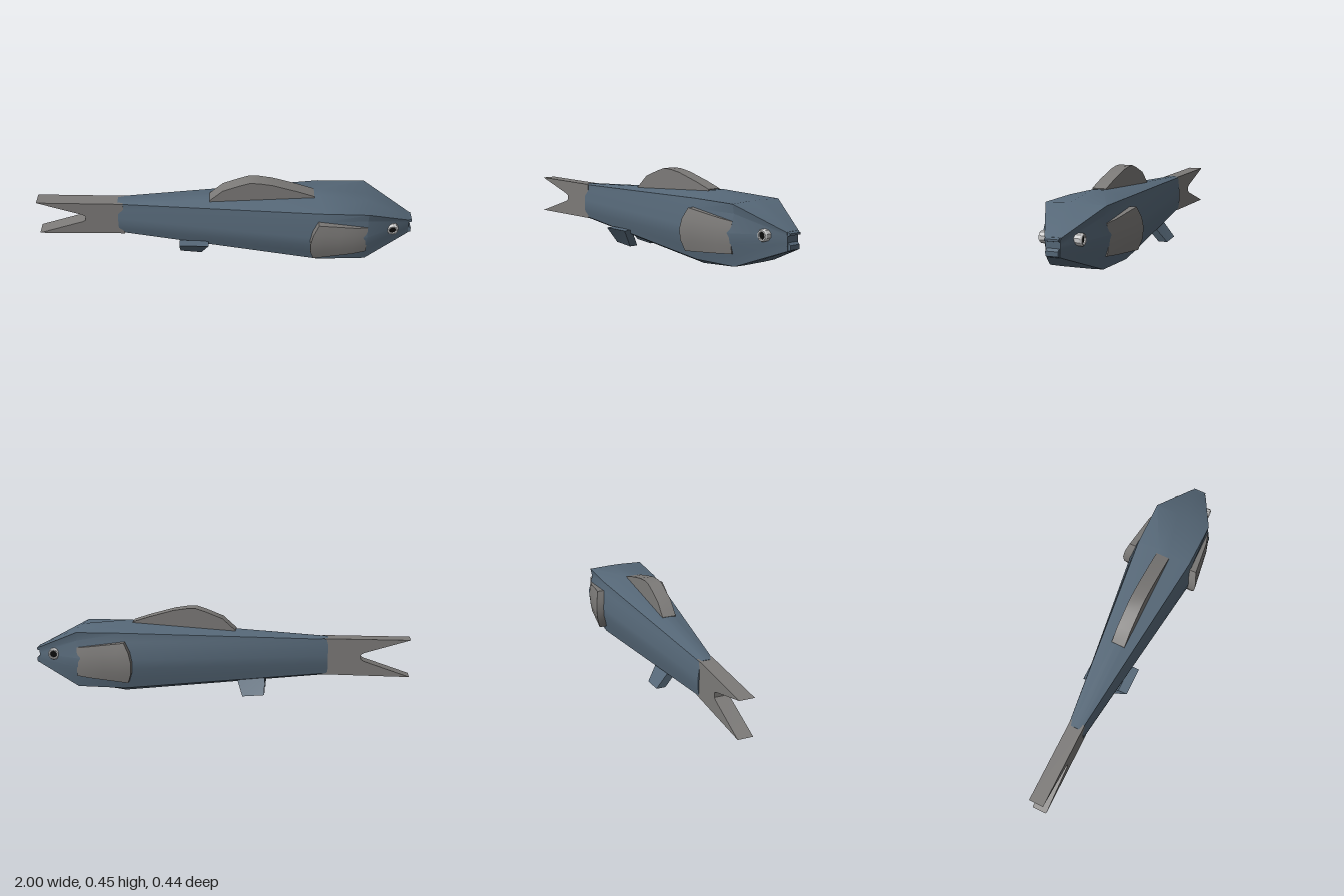
import * as THREE from 'three';
import { toCreasedNormals } from 'three/addons/utils/BufferGeometryUtils.js';

const skin = new THREE.MeshStandardMaterial({ color: 0x566878 });
const finGrey = new THREE.MeshStandardMaterial({ color: 0x7c7a78 });
const eyeGrey = new THREE.MeshStandardMaterial({ color: 0xcccccc });
const black = new THREE.MeshStandardMaterial({ color: 0x0a0a0a });

function part(name, geometry, material, crease = 0.5) {
  const mesh = new THREE.Mesh(toCreasedNormals(geometry, crease), material);
  mesh.name = name;
  return mesh;
}

// Skin mirrored half sections [z, y], listed top to bottom, along x
function loft(sections) {
  const n = sections[0].half.length * 2;
  const pos = [], idx = [];
  for (const { x, half } of sections) {
    for (const [z, y] of half) pos.push(x, y, z);
    for (const [z, y] of [...half].reverse()) pos.push(x, y, -z);
  }
  for (let i = 0; i < sections.length - 1; i++) {
    for (let j = 0; j < n; j++) {
      const a = i * n + j, c = i * n + (j + 1) % n;
      idx.push(a, c, a + n, c, c + n, a + n);
    }
  }
  // End caps, joined straight across
  const last = (sections.length - 1) * n;
  for (let j = 0; j < n / 2 - 1; j++) {
    const a = j, b = j + 1, c = n - 2 - j, d = n - 1 - j;
    idx.push(a, c, b, a, d, c);
    idx.push(last + a, last + b, last + c, last + a, last + c, last + d);
  }
  const g = new THREE.BufferGeometry();
  g.setAttribute('position', new THREE.Float32BufferAttribute(pos, 3));
  g.setIndex(idx);
  return g;
}

// Flat slab cut from an x-y outline between two z values
function slab(points, z0, z1) {
  const shape = new THREE.Shape(points.map(([x, y]) => new THREE.Vector2(x, y)));
  return new THREE.ExtrudeGeometry(shape, { depth: z1 - z0, bevelEnabled: false }).translate(0, 0, z0);
}

// Reshape a box by a rule on its vertices
function warpedBox(sx, sy, rule) {
  const g = new THREE.BoxGeometry(1, 1, 1, sx, sy, 1);
  const p = g.attributes.position;
  for (let i = 0; i < p.count; i++) {
    p.setXYZ(i, ...rule(p.getX(i) + 0.5, p.getY(i) + 0.5, p.getZ(i)));
  }
  return g;
}

// Side fin: curved plate flaring away from the body towards the rear
function sideFin(side) {
  const lerp = THREE.MathUtils.lerp;
  return warpedBox(4, 4, (u, v, w) => {
    const bulge = 4 * v * (1 - v);
    const rear = lerp(0.47, 0.49, v) - 0.03 * bulge;
    const x = lerp(rear, 0.75, u);
    const y = lerp(lerp(0.08, 0.1, u), lerp(0.295, 0.255, u), v);
    const outer = lerp(0.199, 0.168, u) + 0.021 * bulge * (1 - 0.6 * u) - (u > 0.9 ? 0.01 : 0);
    return [x, y, side * (w * side > 0 ? outer : outer - 0.05)];
  });
}

// Belly fin: short slanted plate, leaning towards -z as it goes down
function bellyFin(offset) {
  return warpedBox(1, 1, (u, v, w) => {
    const x = v > 0.5 ? (u > 0.5 ? -0.085 : -0.24) : (u > 0.5 ? -0.125 : -0.24);
    const y = v > 0.5 ? 0.1 : (u > 0.5 ? 0.002 : 0.012);
    return [x, y, offset + 0.07 * v + w * 0.05];
  });
}

export function createModel() {
  const fish = new THREE.Group();
  fish.name = 'fish';

  // Body, from tail root to snout
  fish.add(part('body', loft([
    { x: -0.57, half: [[0.015, 0.305], [0.036, 0.3], [0.037, 0.27], [0.044, 0.21], [0.044, 0.17], [0.04, 0.14], [0.036, 0.115], [0.02, 0.105]] },
    { x: 0.5, half: [[0.03, 0.368], [0.152, 0.337], [0.165, 0.29], [0.186, 0.2], [0.183, 0.15], [0.165, 0.09], [0.15, 0.037], [0.1, 0.012]] },
    { x: 0.75, half: [[0.03, 0.341], [0.156, 0.336], [0.147, 0.29], [0.17, 0.2], [0.166, 0.15], [0.147, 0.09], [0.138, 0.037], [0.07, 0.035]] },
    { x: 0.985, half: [[0.02, 0.222], [0.041, 0.22], [0.037, 0.205], [0.036, 0.185], [0.036, 0.17], [0.036, 0.155], [0.034, 0.131], [0.018, 0.13]] },
  ]), skin));

  // Lips either side of the mouth slot
  fish.add(part('upperLip', slab([[0.98, 0.2], [1, 0.205], [1, 0.215], [0.98, 0.223]], -0.035, 0.035), skin));
  fish.add(part('lowerLip', slab([[0.98, 0.13], [1, 0.137], [1, 0.16], [0.98, 0.175]], -0.031, 0.031), skin));

  // Forked tail
  fish.add(part('tailFin', slab([
    [-0.54, 0.108], [-0.54, 0.303], [-1, 0.305], [-0.76, 0.23], [-0.745, 0.22], [-0.745, 0.195], [-0.76, 0.185], [-1, 0.105],
  ], -0.037, 0.041), finGrey));

  // Back fin
  fish.add(part('dorsalFin', slab([
    [-0.08, 0.3], [0.47, 0.33], [0.47, 0.37], [0.38, 0.4], [0.25, 0.437], [0.18, 0.448], [0.13, 0.449], [0.08, 0.433], [-0.01, 0.398], [-0.08, 0.335],
  ], -0.03, 0.044), finGrey));

  // Paired side fins and eyes
  for (const [side, label] of [[1, 'front'], [-1, 'back']]) {
    fish.add(part(label + 'SideFin', sideFin(side), finGrey));

    const eye = new THREE.Group();
    eye.name = label + 'Eye';
    const rim = [[0.029, -0.04], [0.031, 0.02], [0.026, 0.028], [0.019, 0.028], [0.018, 0.018]];
    eye.add(part('eyeRim', new THREE.LatheGeometry(rim.map(([r, y]) => new THREE.Vector2(r, y)), 10), eyeGrey));
    const pupil = part('pupil', new THREE.CylinderGeometry(0.019, 0.019, 0.03, 10), black);
    pupil.position.y = 0.005;
    eye.add(pupil);
    eye.rotation.x = side * Math.PI / 2;
    eye.position.set(0.89, 0.2, side * 0.08);
    fish.add(eye);
  }

  // Belly fins
  fish.add(part('frontBellyFin', bellyFin(0.04), skin));
  fish.add(part('backBellyFin', bellyFin(-0.105), skin));

  return fish;
}
